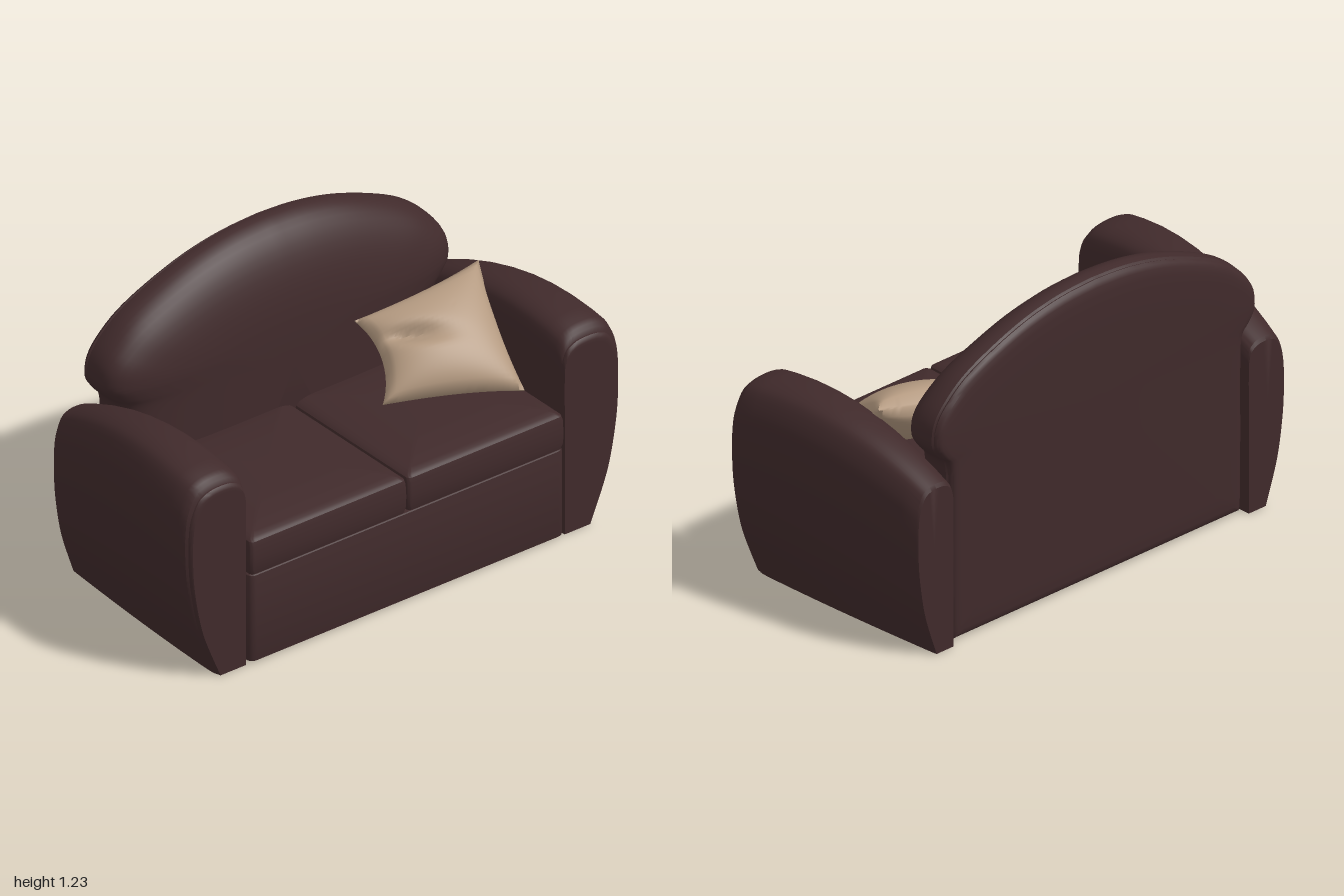
import * as THREE from 'three';
import { toCreasedNormals } from 'three/addons/utils/BufferGeometryUtils.js';

const V = (x, y, z) => new THREE.Vector3(x, y, z);

// Closed skin over a list of equal-length rings, with fan caps; winding is made outward.
function loft(rings, crease = 0.5) {
  const n = rings[0].length, pts = rings.flat(), idx = [];
  for (let r = 0; r < rings.length - 1; r++) {
    for (let i = 0; i < n; i++) {
      const j = (i + 1) % n, a = r * n + i, b = r * n + j;
      idx.push(a, b, b + n, a, b + n, a + n);
    }
  }
  const cap = (start, flip) => {
    const c = V(0, 0, 0);
    for (let i = 0; i < n; i++) c.addScaledVector(pts[start + i], 1 / n);
    const k = pts.push(c) - 1;
    for (let i = 0; i < n; i++) {
      const a = start + i, b = start + (i + 1) % n;
      idx.push(k, flip ? b : a, flip ? a : b);
    }
  };
  const last = (rings.length - 1) * n;
  cap(0, true);
  cap(last, false);
  let volume = 0;
  for (let i = 0; i < idx.length; i += 3) {
    volume += pts[idx[i]].dot(pts[idx[i + 1]].clone().cross(pts[idx[i + 2]]));
  }
  if (volume < 0) idx.reverse();
  const g = new THREE.BufferGeometry().setFromPoints(pts);
  g.setIndex(idx);
  return toCreasedNormals(g, crease);
}

// Arm: one rounded section swept front to back, getting lower and narrower
function armGeometry(side) {
  const profile = new THREE.SplineCurve([
    [0, 0], [0, 0.3], [0, 0.6], [0, 0.86], [0.03, 0.93], [0.1, 0.97], [0.26, 0.995], [0.49, 1],
    [0.68, 0.99], [0.83, 0.96], [0.95, 0.88], [0.99, 0.8], [1, 0.71], [0.985, 0.58], [0.945, 0.47],
    [0.87, 0.34], [0.78, 0.235], [0.64, 0.12], [0.48, 0],
  ].map(p => new THREE.Vector2(...p))).getPoints(54);
  // each station: z, width scale, height scale
  const stations = [
    [0.44, 0.84, 0.93], [0.44, 0.88, 0.945], [0.436, 0.9, 0.957], [0.43, 0.915, 0.963], [0.425, 0.92, 0.962],
    [0.418, 0.96, 0.982], [0.405, 0.985, 0.993], [0.385, 1, 1], [0.32, 1, 1], [0.22, 1, 1], [0.12, 1, 1],
    [0.02, 1, 1], [-0.08, 1, 1], [-0.18, 1, 1], [-0.28, 1, 1], [-0.38, 1, 1], [-0.45, 1, 1], [-0.458, 0.98, 0.985],
  ];
  return loft(stations.map(([z, su, sy]) => {
    const height = 0.85 - 0.44 * (z - 0.15) ** 2;
    const width = 0.276 - 0.1 * (Math.max(0, 0.43 - z) / 0.89) ** 1.6;
    return profile.map(p => V(side * (0.724 + width * (0.15 + (p.x - 0.15) * su)), p.y * height * sy, z));
  }));
}

// Backrest: arched outline, domed towards the seat and nearly flat behind
function backGeometry() {
  const half = new THREE.SplineCurve([
    [0.7, 0.01], [0.712, 0.04], [0.715, 0.3], [0.715, 0.6], [0.722, 0.72], [0.755, 0.765], [0.782, 0.805],
    [0.787, 0.85], [0.775, 0.908], [0.733, 0.97], [0.64, 1.05], [0.5, 1.12], [0.33, 1.181], [0.16, 1.215], [0, 1.225],
  ].map(p => new THREE.Vector2(...p))).getPoints(56);
  const outline = [...half, ...half.slice(0, -1).reverse().map(p => new THREE.Vector2(-p.x, p.y))];
  // each layer: z, width scale, arch scale above the arms, lift of the lower edge
  const layers = [];
  for (let i = 1; i <= 14; i++) {
    const a = (i / 14) * Math.PI / 2, c = Math.cos(a);
    layers.push([-0.198 - 0.187 * (1 - c), (1 - c ** 4) ** 0.25, Math.sin(a), 0.1 * c ** 4]);
  }
  layers.push(
    [-0.408, 0.998, 0.985, 0], [-0.414, 0.99, 0.965, 0], [-0.42, 0.994, 0.97, 0], [-0.43, 0.99, 0.95, 0.003],
    [-0.437, 0.982, 0.91, 0.008], [-0.442, 0.968, 0.84, 0.018], [-0.445, 0.94, 0.72, 0.035], [-0.446, 0.8, 0.5, 0.1],
  );
  return loft(layers.map(([z, sx, arch, lift]) => outline.map(p => {
    const y = p.y > 0.8 ? 0.8 + (p.y - 0.8) * arch : p.y + lift * (1 - p.y / 0.8);
    return V(p.x * sx, y, z);
  })), 0.6);
}

// Seat cushion: rounded box with a seam and a gently crowned top
function cushionGeometry() {
  const ring = (y, hw, hd, r) => {
    const out = [];
    for (let c = 0; c < 4; c++) {
      for (let k = 0; k <= 5; k++) {
        const a = (c + k / 5) * Math.PI / 2;
        const sx = c === 0 || c === 3 ? 1 : -1, sz = c < 2 ? 1 : -1;
        out.push(V(sx * (hw - r) + r * Math.cos(a), y, sz * (hd - r) + r * Math.sin(a)));
      }
    }
    return out;
  };
  const sides = [[0.367, 0.015], [0.374, 0.006], [0.395, 0.001], [0.44, 0], [0.49, 0.002], [0.508, 0.006], [0.513, 0.012]];
  const crown = [0.94, 0.88, 0.8, 0.7, 0.55, 0.4, 0.2];
  return loft([
    ...sides.map(([y, inset]) => ring(y, 0.3595 - inset, 0.36 - inset, 0.018)),
    ...crown.map(s => ring(0.513 + 0.037 * (1 - s ** 3.5), 0.3595 * s, 0.36 * s, 0.018 * s)),
  ], 0.55);
}

// Base skirt: front panel and two sides, open below and behind
function baseGeometry() {
  const w = 0.713, f = -0.448, b = 0.26, t = 0.025, r = 0.025;
  const s = new THREE.Shape();
  s.moveTo(-w, b);
  s.lineTo(-w, f + r);
  s.quadraticCurveTo(-w, f, -w + r, f);
  s.lineTo(w - r, f);
  s.quadraticCurveTo(w, f, w, f + r);
  s.lineTo(w, b);
  s.lineTo(w - t, b);
  s.lineTo(w - t, f + t + r);
  s.quadraticCurveTo(w - t, f + t, w - t - r, f + t);
  s.lineTo(-w + t + r, f + t);
  s.quadraticCurveTo(-w + t, f + t, -w + t, f + t + r);
  s.lineTo(-w + t, b);
  const g = new THREE.ExtrudeGeometry(s, {
    depth: 0.342, bevelThickness: 0.01, bevelSize: 0.006, bevelSegments: 2, curveSegments: 6,
  });
  g.rotateX(-Math.PI / 2).translate(0, 0.018, 0);
  return toCreasedNormals(g, 0.6);
}

// Throw pillow: puffed sheet between four corners, with pinched edges and a fold
function pillowGeometry() {
  const A = V(0.27, 0.765, -0.195), B = V(0.785, 0.858, -0.13), C = V(0.675, 0.545, 0.275), D = V(0.205, 0.555, 0.05);
  const normal = D.clone().sub(B).cross(C.clone().sub(A)).normalize();
  if (normal.y < 0) normal.negate();
  const g = new THREE.BoxGeometry(2, 2, 2, 28, 28, 1), pos = g.attributes.position;
  for (let i = 0; i < pos.count; i++) {
    const x = pos.getX(i), y = pos.getY(i), top = pos.getZ(i) > 0;
    const u = (x * (1 - (x < 0 ? 0.2 : 0.06) * (1 - y * y)) + 1) / 2;
    const v = (1 - y * (1 - 0.06 * (1 - x * x))) / 2;
    let h = 0.004 + 0.108 * (Math.max(0, 1 - x * x) * Math.max(0, 1 - y * y)) ** 0.42;
    if (top) {
      const fold = Math.exp(-(((y - 0.05 + 0.3 * x) / 0.16) ** 2) - ((x + 0.5) / 0.5) ** 2);
      h *= 1 - 0.5 * fold;
    }
    const p = A.clone().lerp(B, u).lerp(D.clone().lerp(C, u), v).addScaledVector(normal, top ? h : -h * 0.75);
    pos.setXYZ(i, p.x, p.y, p.z);
  }
  return toCreasedNormals(g, 1.0);
}

export function createModel() {
  const leather = new THREE.MeshStandardMaterial({ color: 0x402a2b });
  leather.name = 'dark brown leather';
  const fabric = new THREE.MeshStandardMaterial({ color: 0xb39980 });
  fabric.name = 'tan fabric';

  const sofa = new THREE.Group();
  sofa.name = 'sofa';
  const add = (name, geometry, material = leather) => {
    const mesh = new THREE.Mesh(geometry, material);
    mesh.name = name;
    sofa.add(mesh);
    return mesh;
  };

  add('base', baseGeometry());
  add('backrest', backGeometry());
  for (const [label, side] of [['left', 1], ['right', -1]]) {
    add(label + 'Arm', armGeometry(side));
    add(label + 'SeatCushion', cushionGeometry()).position.set(side * 0.3595, 0, 0.097);
  }
  add('throwPillow', pillowGeometry(), fabric);
  return sofa;
}
